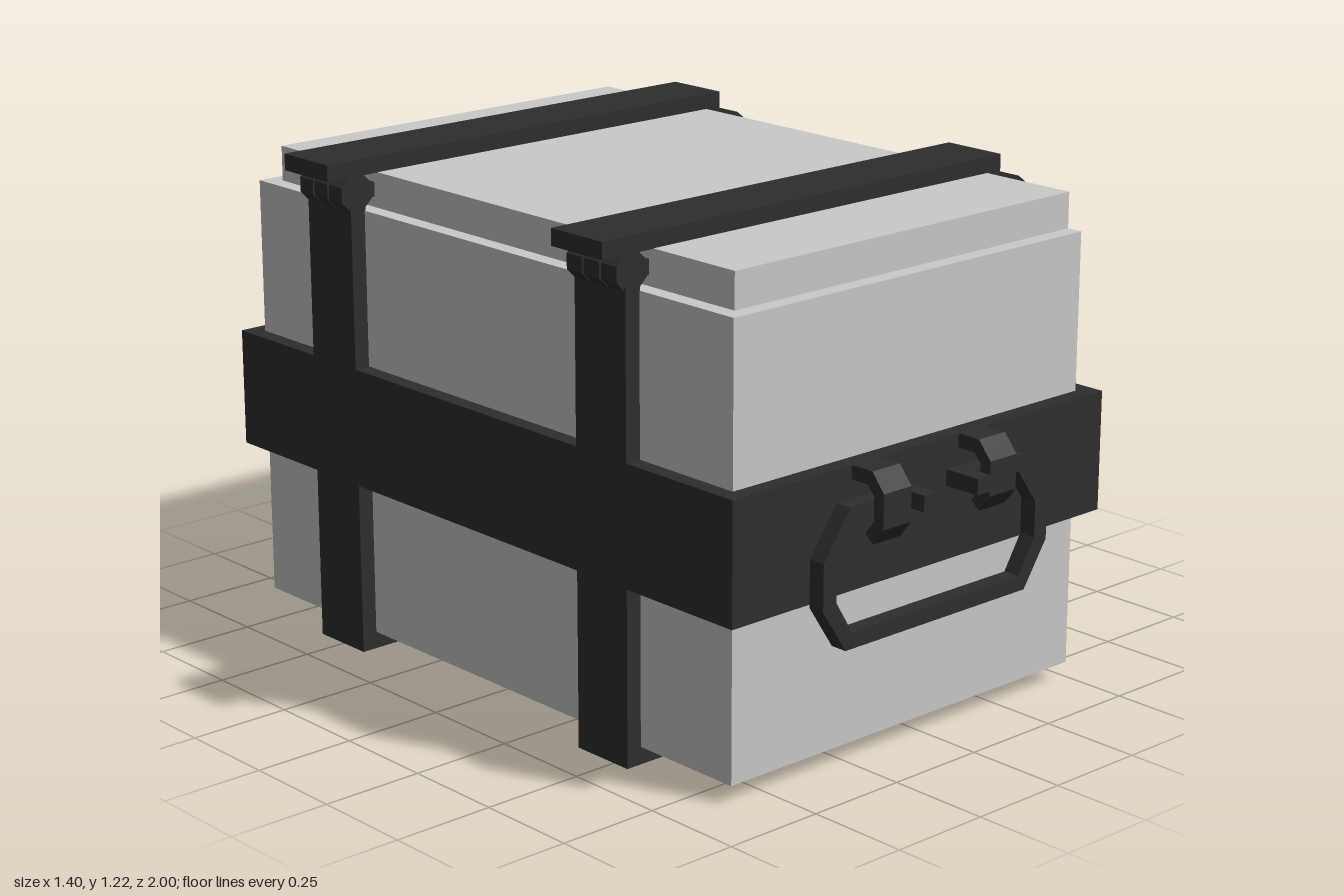
import * as THREE from 'three';

const pale = new THREE.MeshStandardMaterial({ color: 0xcacaca });
pale.name = 'pale grey shell';
const dark = new THREE.MeshStandardMaterial({ color: 0x2e2e2e });
dark.name = 'dark grey fittings';

function add(parent, name, geometry, material = dark) {
  const mesh = new THREE.Mesh(geometry, material);
  mesh.name = name;
  parent.add(mesh);
  return mesh;
}

// Box given by its minimum and maximum on each axis
function box(parent, name, [x0, x1], [y0, y1], [z0, z1], material) {
  const g = new THREE.BoxGeometry(x1 - x0, y1 - y0, z1 - z0);
  g.translate((x0 + x1) / 2, (y0 + y1) / 2, (z0 + z1) / 2);
  return add(parent, name, g, material);
}

const toPoints = (pts) => pts.map(([x, y]) => new THREE.Vector2(x, y));

// Extrusion of a polygon, centred on its depth
function slab(pts, depth, holes = []) {
  const shape = new THREE.Shape(toPoints(pts));
  holes.forEach((h) => shape.holes.push(new THREE.Path(toPoints(h))));
  return new THREE.ExtrudeGeometry(shape, { depth, bevelEnabled: false }).translate(0, 0, -depth / 2);
}

const rect = (x0, x1, y0, y1) => [[x0, y0], [x1, y0], [x1, y1], [x0, y1]];

// Strap wrapped around the case, with its hinge
function makeStrap(z) {
  const strap = new THREE.Group();
  strap.name = 'strap';
  const w = [z - 0.083, z + 0.083];
  box(strap, 'strapBottom', [-0.64, 0.535], [0, 0.042], w);
  box(strap, 'strapHingeSide', [-0.64, -0.598], [0, 1.11], w);
  box(strap, 'strapLatchSide', [0.488, 0.535], [0, 0.6], w);
  box(strap, 'strapTop', [-0.705, 0.535], [1.18, 1.22], w);
  box(strap, 'strapLidFront', [0.488, 0.535], [0.8, 1.2], w);
  box(strap, 'hingeLeaf', [-0.62, -0.555], [1.12, 1.156], [z - 0.07, z + 0.07]);
  for (const i of [-1, 0, 1]) {
    const g = new THREE.CylinderGeometry(0.047, 0.047, 0.05, 8).rotateY(Math.PI / 8).rotateX(Math.PI / 2);
    const flat = g.toNonIndexed();
    flat.computeVertexNormals();
    add(strap, 'hingeKnuckle', flat).position.set(-0.62, 1.14, z + i * 0.056);
  }
  return strap;
}

// Slotted hasp plate, hanging from a pivot and held by two staples
function makeLatch(z) {
  const latch = new THREE.Group();
  latch.name = 'latch';
  latch.position.z = z;
  const plate = slab(
    [[-0.103, 1.12], [-0.103, 0.585], [-0.053, 0.527], [0.053, 0.527], [0.103, 0.585], [0.103, 1.12]],
    0.041, [rect(-0.042, 0.042, 0.823, 1.053), rect(-0.042, 0.042, 0.583, 0.7)]);
  add(latch, 'haspPlate', plate.rotateY(-Math.PI / 2)).position.x = 0.577;
  add(latch, 'haspPivot', slab(
    [[0.576, 1.165], [0.537, 1.134], [0.552, 1.09], [0.6, 1.09], [0.615, 1.134]], 0.208));
  add(latch, 'upperStaple', slab([
    [0.53, 1.05], [0.616, 1.05], [0.7, 1.01], [0.7, 0.885], [0.616, 0.845], [0.53, 0.845],
    [0.53, 0.882], [0.6, 0.882], [0.66, 0.908], [0.66, 0.983], [0.6, 1.013], [0.53, 1.013]], 0.04));
  add(latch, 'lowerStaple', slab([
    [0.53, 0.675], [0.565, 0.67], [0.62, 0.634], [0.66, 0.615], [0.66, 0.512], [0.575, 0.467], [0.53, 0.467],
    [0.53, 0.505], [0.57, 0.505], [0.62, 0.532], [0.62, 0.592], [0.56, 0.635], [0.53, 0.635]], 0.042));
  return latch;
}

// Swinging carry handle; side is +1 for the front, -1 for the back
function makeHandle(side) {
  const handle = new THREE.Group();
  handle.name = side > 0 ? 'frontHandle' : 'backHandle';
  add(handle, 'handleBail', slab([
    [-0.14, 0.65], [-0.355, 0.65], [-0.433, 0.54], [-0.433, 0.43], [-0.363, 0.324],
    [0.21, 0.324], [0.28, 0.43], [0.28, 0.54], [0.2, 0.65], [-0.012, 0.65],
    [-0.012, 0.613], [0.18, 0.613], [0.24, 0.528], [0.24, 0.442], [0.19, 0.361],
    [-0.343, 0.361], [-0.393, 0.442], [-0.393, 0.528], [-0.333, 0.613], [-0.14, 0.613]], 0.042)
  ).position.z = side * 0.926;
  // Turned-out ends that stop the bail sliding
  for (const x of [-0.161, 0.009]) {
    const g = new THREE.BoxGeometry(0.042, 0.038, 0.094);
    add(handle, 'bailTip', g).position.set(x, 0.6315, side * 0.953);
  }
  // Curled brackets
  const profile = [
    [0.87, 0.715], [0.943, 0.715], [0.979, 0.672], [0.979, 0.59], [0.948, 0.55],
    [0.925, 0.57], [0.95, 0.603], [0.95, 0.66], [0.93, 0.682], [0.87, 0.682]];
  for (const x of [-0.243, 0.093]) {
    const g = slab(profile.map(([z, y]) => [z * side, y]), 0.085).rotateY(-Math.PI / 2);
    add(handle, 'handleBracket', g).position.x = x;
  }
  return handle;
}

export function createModel() {
  const model = new THREE.Group();
  model.name = 'strappedCase';

  // Shell and stepped lid
  box(model, 'caseBody', [-0.6, 0.49], [0.042, 1.095], [-0.84, 0.84], pale);
  box(model, 'caseLid', [-0.56, 0.49], [1.095, 1.181], [-0.8, 0.8], pale);

  // Wide band around the middle
  box(model, 'middleBand', [-0.64, 0.535], [0.425, 0.715], [-0.882, 0.882]);

  for (const z of [0.463, -0.503]) model.add(makeStrap(z));
  for (const z of [0.465, -0.5]) model.add(makeLatch(z));
  for (const side of [1, -1]) model.add(makeHandle(side));
  return model;
}
